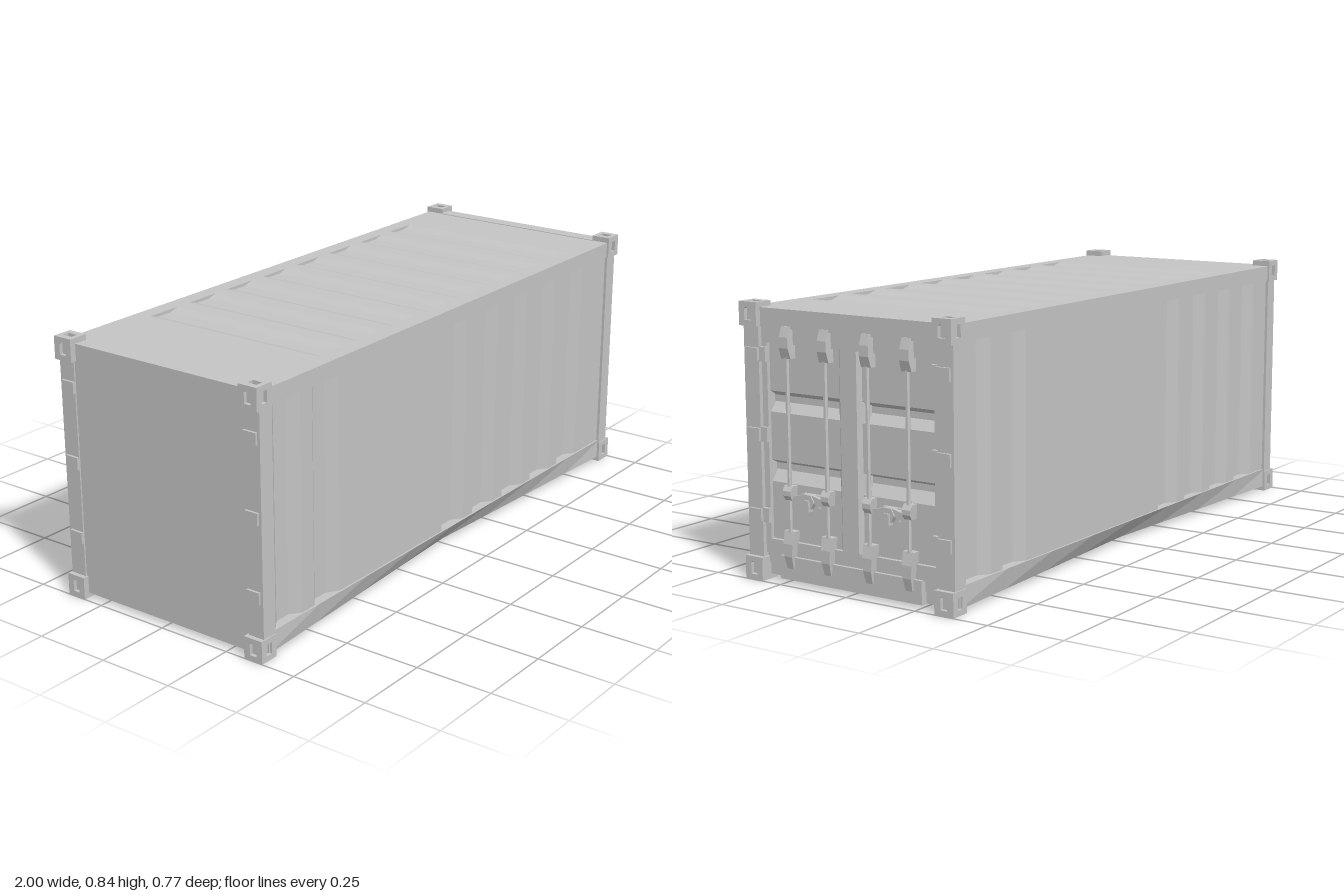
import * as THREE from 'three';

export function createModel() {
  const root = new THREE.Group();
  root.name = 'shippingContainer';
  const grey = new THREE.MeshStandardMaterial({ color: 0xc4c4c4 });
  grey.name = 'grey steel';

  // Faceted mesh helper
  const add = (name, geo, parent = root) => {
    const flat = geo.index ? geo.toNonIndexed() : geo;
    flat.computeVertexNormals();
    const mesh = new THREE.Mesh(flat, grey);
    mesh.name = name;
    parent.add(mesh);
    return mesh;
  };
  // Box given by its limits on each axis
  const block = (name, [x0, x1], [y0, y1], [z0, z1], parent) => {
    const g = new THREE.BoxGeometry(x1 - x0, y1 - y0, z1 - z0);
    g.translate((x0 + x1) / 2, (y0 + y1) / 2, (z0 + z1) / 2);
    return add(name, g, parent);
  };
  const extrude = (points, depth) => new THREE.ExtrudeGeometry(
    new THREE.Shape(points.map(p => new THREE.Vector2(...p))), { depth, bevelEnabled: false });

  // Sheet outline: trapezoid ribs inside the spans, flat elsewhere
  const ribbed = (spans, outer, inner, under) => {
    const pts = [[-0.95, under], [0.95, under]];
    const top = [[-0.95, outer]];
    for (const [a, b] of spans) {
      for (let x = a; x + 0.16 < b; x += 0.18) {
        top.push([x + 0.03, outer], [x + 0.065, inner], [x + 0.12, inner], [x + 0.155, outer]);
      }
    }
    top.push([0.95, outer]);
    return pts.concat(top.reverse());
  };

  // Long side walls
  const wall = (name, spans, turn) => {
    const g = extrude(ribbed(spans, 0.372, 0.346, 0.32), 0.7);
    g.rotateX(Math.PI / 2);
    g.translate(0, 0.775, 0);
    add(name, g).rotation.y = turn;
  };
  wall('frontWall', [[-0.95, -0.58], [-0.1, 0.95]], 0);
  wall('backWall', [[-0.95, -0.58], [0.14, 0.95]], Math.PI);

  // Roof with shallow cross ribs
  const roof = extrude(ribbed([[-0.68, 0.9]], 0.822, 0.812, 0.79), 0.66);
  roof.translate(0, 0, -0.33);
  add('roof', roof);

  // Floor frame, its lower edge tucked in toward the middle
  const floor = new THREE.BoxGeometry(1.92, 0.065, 0.756, 8, 1, 1);
  const pos = floor.attributes.position;
  for (let i = 0; i < pos.count; i++) {
    if (pos.getY(i) < 0) {
      const tuck = 0.05 * (1 - Math.abs(pos.getX(i)) / 0.96);
      pos.setZ(i, pos.getZ(i) - Math.sign(pos.getZ(i)) * tuck);
    }
  }
  floor.translate(0, 0.0475, 0);
  add('floorFrame', floor);

  // Corner casting with a slot in each of its three outer faces
  const slotted = (w, h, t) => {
    const s = new THREE.Shape();
    s.moveTo(-w / 2, -h / 2).lineTo(w / 2, -h / 2).lineTo(w / 2, h / 2).lineTo(-w / 2, h / 2).closePath();
    const hole = new THREE.Path();
    const a = w * 0.18, b = h * 0.26;
    hole.moveTo(-a, -b).lineTo(-a, b * 0.8).lineTo(-a * 0.6, b).lineTo(a, b).lineTo(a, -b).closePath();
    s.holes.push(hole);
    return new THREE.ExtrudeGeometry(s, { depth: t, bevelEnabled: false });
  };
  const casting = (sx, sy, sz) => {
    const group = new THREE.Group();
    group.name = 'cornerCasting';
    const w = 0.066, h = 0.072, t = 0.012;
    group.position.set(sx * (1 - w / 2), sy > 0 ? 0.84 - h / 2 : h / 2, sz * (0.385 - w / 2));
    const c = add('castingCore', new THREE.BoxGeometry(w - t, h - t, w - t), group);
    c.position.set(-sx * t / 2, -sy * t / 2, -sz * t / 2);
    const face = (name, g, axis, sign, half) => {
      const m = add(name, g, group);
      if (axis === 'x') m.rotation.y = sign * Math.PI / 2;
      if (axis === 'y') m.rotation.x = -sign * Math.PI / 2;
      if (axis === 'z' && sign < 0) m.rotation.y = Math.PI;
      m.position[axis] = sign * (half - t);
    };
    face('castingEndPlate', slotted(w, h, t), 'x', sx, w / 2);
    face('castingCapPlate', slotted(w, w, t), 'y', sy, h / 2);
    face('castingSidePlate', slotted(w, h, t), 'z', sz, w / 2);
    root.add(group);
  };

  for (const s of [-1, 1]) {
    const side = (a, b) => (s > 0 ? [a, b] : [-b, -a]);
    // Long top rails
    block('topRail', [-0.95, 0.95], [0.77, 0.822], side(0.325, 0.378));
    for (const e of [-1, 1]) {
      const end = (a, b) => (e > 0 ? [a, b] : [-b, -a]);
      // Corner posts, castings and hinges
      block('cornerPost', end(0.935, 0.985), [0.06, 0.78], side(0.325, 0.381));
      casting(e, 1, s);
      casting(e, -1, s);
      for (const y of [0.2, 0.445, 0.685]) {
        const hinge = block('hinge', end(0.975, 0.993), [y - 0.019, y + 0.019], side(0.325, 0.372));
        hinge.name = 'hinge';
        if (e > 0) block('hingeLeaf', [0.965, 0.984], [y - 0.022, y + 0.022], side(0.302, 0.33));
      }
    }
  }

  // Blind end
  block('endWall', [-0.98, -0.94], [0.016, 0.822], [-0.33, 0.33]);

  // Door end frame
  block('doorHeader', [0.93, 0.982], [0.767, 0.824], [-0.33, 0.33]);
  block('doorSill', [0.93, 0.982], [0.014, 0.085], [-0.262, 0.262]);
  block('doorSillCore', [0.93, 0.965], [0.05, 0.085], [-0.33, 0.33]);

  // Door leaves: grooved panel in a frame
  const panel = [[0.92, 0.08], [0.96, 0.08], [0.96, 0.302], [0.935, 0.335], [0.935, 0.355], [0.96, 0.367],
    [0.96, 0.512], [0.935, 0.54], [0.935, 0.56], [0.96, 0.575], [0.96, 0.77], [0.92, 0.77]];
  for (const s of [-1, 1]) {
    const side = (a, b) => (s > 0 ? [a, b] : [-b, -a]);
    const leaf = extrude(panel, 0.29);
    leaf.translate(0, 0, s > 0 ? 0.035 : -0.325);
    add('doorPanel', leaf);
    block('doorTopEdge', [0.94, 0.972], [0.72, 0.77], side(0.03, 0.32));
    block('doorBottomEdge', [0.94, 0.972], [0.083, 0.128], side(0.03, 0.32));
    block('doorOuterStile', [0.94, 0.972], [0.083, 0.77], side(0.305, 0.328));
  }
  // Middle stile with sloped flanks
  const stile = extrude([[-0.06, 0.94], [0.06, 0.94], [0.03, 0.972], [-0.03, 0.972]], 0.687);
  stile.rotateX(Math.PI / 2);
  stile.rotateY(Math.PI / 2);
  stile.translate(0, 0.77, 0);
  add('doorMiddleStile', stile);

  // Locking bars with tapered keepers
  const keeper = (name, y0, y1, z, wTop, wBottom) => {
    const g = new THREE.BoxGeometry(0.032, y1 - y0, 1, 1, 3, 1);
    const p = g.attributes.position;
    for (let i = 0; i < p.count; i++) {
      const k = p.getY(i) / (y1 - y0) + 0.5;
      p.setZ(i, p.getZ(i) * (wBottom + (wTop - wBottom) * k));
      if (p.getX(i) > 0 && (k < 0.1 || k > 0.9)) p.setX(i, 0.006);
    }
    g.translate(0.98, (y0 + y1) / 2, z);
    add(name, g);
  };
  for (const z of [-0.22, -0.077, 0.077, 0.22]) {
    const bar = new THREE.CylinderGeometry(0.007, 0.007, 0.7, 6);
    bar.translate(0.981, 0.41, z);
    add('lockingBar', bar);
    keeper('topKeeper', 0.68, 0.775, z, 0.03, 0.036);
    keeper('middleBracket', 0.258, 0.302, z, 0.032, 0.026);
    keeper('bottomKeeper', 0.05, 0.165, z, 0.04, 0.024);
  }

  // Handles with catches
  for (const s of [-1, 1]) {
    const handle = new THREE.Group();
    handle.name = 'doorHandle';
    handle.position.set(0.977, 0.262, s * 0.148);
    for (const d of [-1, 1]) {
      const arm = add('handleArm', new THREE.BoxGeometry(0.014, 0.022, 0.055), handle);
      arm.position.set(0, 0.004, d * 0.034);
      arm.rotation.x = d * 0.25;
    }
    const hub = new THREE.CylinderGeometry(0.024, 0.024, 0.022, 6);
    hub.rotateZ(Math.PI / 2);
    add('handleCatch', hub, handle);
    add('handleLatch', new THREE.BoxGeometry(0.02, 0.034, 0.018), handle).position.set(0.008, -0.012, 0);
    add('handlePlate', new THREE.BoxGeometry(0.024, 0.04, 0.06), handle).position.x = -0.016;
    root.add(handle);
  }
  return root;
}
